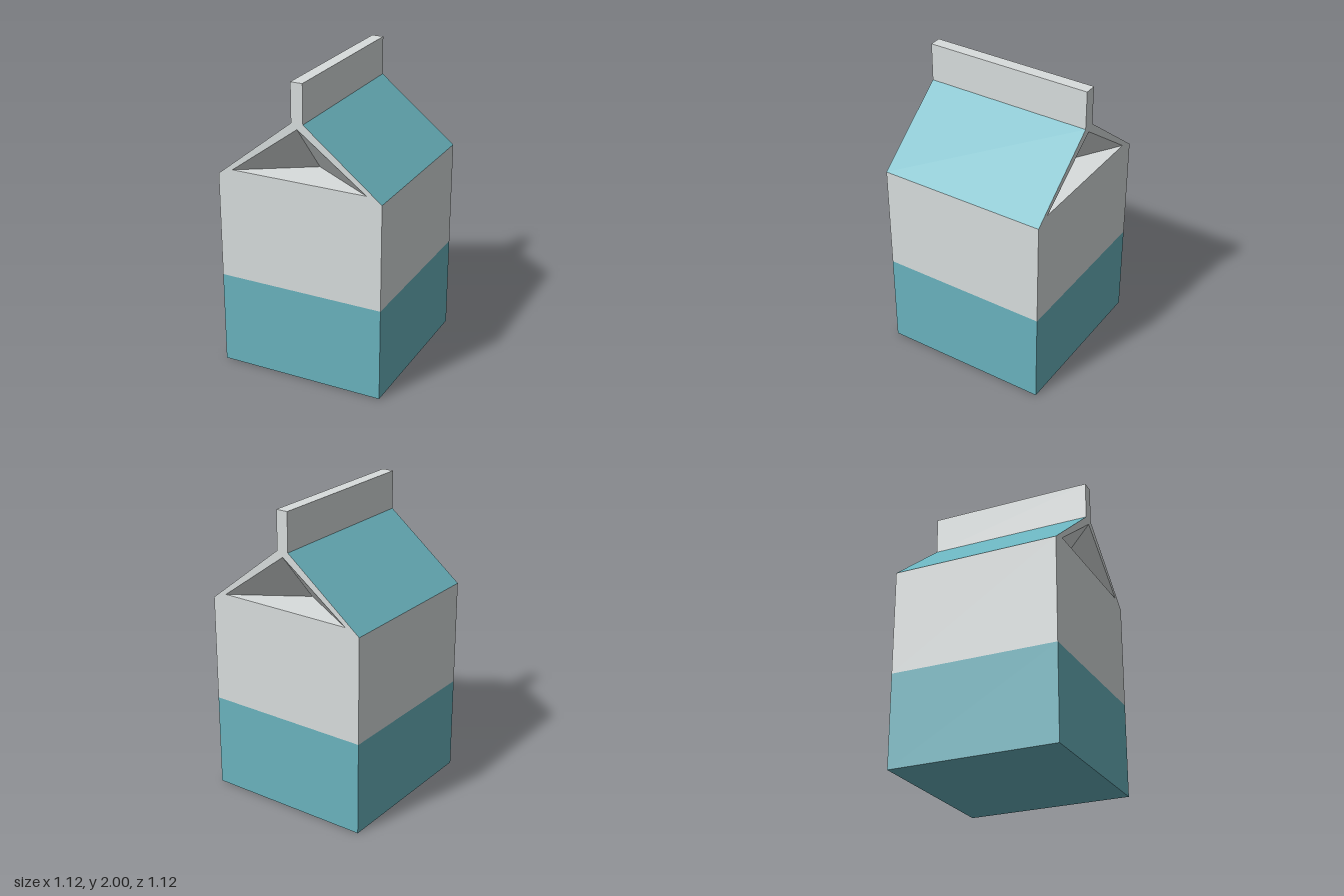
import * as THREE from 'three';

const W = 0.56, BAND = 0.625, EAVE = 1.33, RIDGE = 1.745, TOP = 2, FIN = 0.04;

// Flat faces from convex polygons, corners counter-clockwise seen from outside
function facesGeometry(polygons) {
  const positions = [];
  for (const p of polygons) {
    for (let i = 1; i < p.length - 1; i++) positions.push(...p[0], ...p[i], ...p[i + 1]);
  }
  const geometry = new THREE.BufferGeometry();
  geometry.setAttribute('position', new THREE.Float32BufferAttribute(positions, 3));
  geometry.computeVertexNormals();
  return geometry;
}

// Vertical or sloped panel along z, facing +x, from (x0, y0) up to (x1, y1)
const sidePanel = (x0, y0, x1, y1) => [[x0, y0, W], [x0, y0, -W], [x1, y1, -W], [x1, y1, W]];

export function createModel() {
  const carton = new THREE.Group();
  carton.name = 'milkCarton';

  const paper = new THREE.MeshStandardMaterial({ color: 0xd8dddd });
  paper.name = 'pale grey paper';
  const teal = new THREE.MeshStandardMaterial({ color: 0x6ab3be });
  teal.name = 'teal print';

  const add = (parent, name, geometry, material) => {
    const mesh = new THREE.Mesh(geometry, material);
    mesh.name = name;
    parent.add(mesh);
    return mesh;
  };

  // Coloured lower band with the bottom
  add(carton, 'lowerBand', new THREE.BoxGeometry(2 * W, BAND, 2 * W), teal).position.y = BAND / 2;

  // Gable end outline, including the top fin, with the triangular fold opening
  const outline = [[-W, BAND], [W, BAND], [W, EAVE], [FIN, RIDGE], [FIN, TOP], [-FIN, TOP], [-FIN, RIDGE], [-W, EAVE]];
  const gable = new THREE.Shape(outline.map(([x, y]) => new THREE.Vector2(x, y)));
  const foldX = 0.46, foldY = 1.37, foldTop = 1.71, foldDepth = 0.29;
  gable.holes.push(new THREE.Path([
    new THREE.Vector2(-foldX, foldY), new THREE.Vector2(0, foldTop), new THREE.Vector2(foldX, foldY),
  ]));
  const gableGeometry = new THREE.ShapeGeometry(gable).translate(0, 0, W);

  // Folded recess: two inner flaps and a level floor
  const left = [-foldX, foldY, W], right = [foldX, foldY, W];
  const apex = [0, foldTop, W], inner = [0, foldY, W - foldDepth];
  const foldGeometry = facesGeometry([[apex, left, inner], [apex, inner, right], [left, right, inner]]);

  // Each half turn gives one gable end and one side
  const wallGeometry = facesGeometry([sidePanel(W, BAND, W, EAVE)]);
  const roofGeometry = facesGeometry([sidePanel(W, EAVE, FIN, RIDGE)]);
  const finGeometry = facesGeometry([sidePanel(FIN, RIDGE, FIN, TOP), sidePanel(FIN, TOP, 0, TOP)]);
  for (const [i, name] of ['front', 'back'].entries()) {
    const half = new THREE.Group();
    half.name = name + 'Half';
    half.rotation.y = i * Math.PI;
    add(half, name + 'Gable', gableGeometry, paper);
    add(half, name + 'Fold', foldGeometry, paper);
    const side = i ? 'right' : 'left';
    add(half, side + 'Wall', wallGeometry, paper);
    add(half, side + 'RoofPanel', roofGeometry, teal);
    add(half, side + 'FinSide', finGeometry, paper);
    carton.add(half);
  }

  return carton;
}
